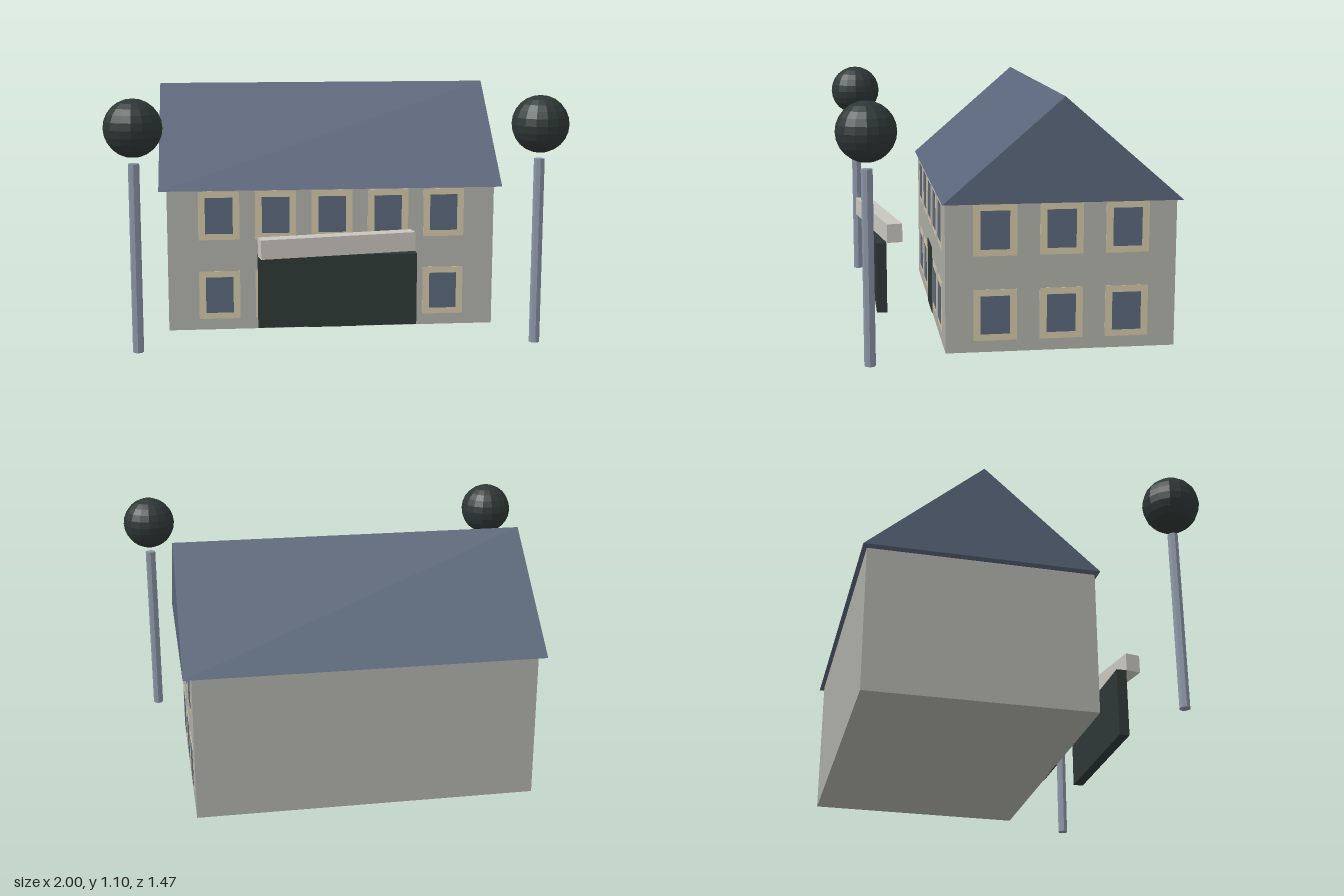
import * as THREE from 'three';

const paint = (name, color, flatShading = false) => {
  const m = new THREE.MeshStandardMaterial({ color, flatShading });
  m.name = name;
  return m;
};

export function createModel() {
  const wall = paint('warm grey wall', 0xacaca6);
  const slate = paint('slate blue', 0x596579);
  const cream = paint('cream trim', 0xcec2a3);
  const dark = paint('dark green', 0x2d3735, true);
  const stone = paint('pale stone', 0xc8c5be);
  const steel = paint('steel', 0x8a94a5, true);

  const model = new THREE.Group();
  model.name = 'house';

  const add = (parent, name, geometry, material, x = 0, y = 0, z = 0) => {
    const mesh = new THREE.Mesh(geometry, material);
    mesh.name = name;
    mesh.position.set(x, y, z);
    parent.add(mesh);
    return mesh;
  };
  const box = (w, h, d) => new THREE.BoxGeometry(w, h, d);

  // Main block
  const midZ = -0.215, frontZ = 0.285, sideX = 0.752;
  add(model, 'walls', box(sideX * 2, 0.65, 1), wall, 0, 0.325, midZ);

  // Gabled roof: a triangle swept along x
  const gable = new THREE.Shape([
    new THREE.Vector2(-0.517, 0), new THREE.Vector2(0.517, 0), new THREE.Vector2(0, 0.448),
  ]);
  const roofGeo = new THREE.ExtrudeGeometry(gable, { depth: 1.576, bevelEnabled: false });
  roofGeo.translate(0, 0, -0.788).rotateY(Math.PI / 2);
  add(model, 'roof', roofGeo, slate, 0, 0.65, midZ - 0.003);

  // Windows: a thin trim plate with a pane on it, facing +z
  const trimGeo = box(0.188, 0.224, 0.004), paneGeo = box(0.126, 0.167, 0.006);
  const addWindow = (x, y, z, turn) => {
    const win = new THREE.Group();
    win.name = 'window';
    add(win, 'windowTrim', trimGeo, cream);
    add(win, 'windowPane', paneGeo, slate, 0, 0, 0.001);
    win.position.set(x, y, z);
    win.rotation.y = turn;
    model.add(win);
  };
  for (const y of [0.163, 0.533]) {
    for (let i = -2; i <= 2; i++) {
      if (i === 0 && y < 0.4) continue; // the door stands here
      addWindow(i * 0.259, y, frontZ, 0);
    }
    for (let i = -1; i <= 1; i++) addWindow(sideX, y, midZ + i * 0.286, Math.PI / 2);
  }

  // Entrance
  add(model, 'door', box(0.224, 0.32, 0.006), dark, 0, 0.16, frontZ);
  add(model, 'entrancePanel', box(0.702, 0.322, 0.047), dark, 0, 0.24, 0.535);
  const canopy = add(model, 'canopy', box(0.702, 0.085, 0.07), stone, 0, 0.444, 0.534);
  canopy.rotation.y = THREE.MathUtils.degToRad(10);

  // Pair of globe lamps
  const postGeo = new THREE.CylinderGeometry(0.024, 0.024, 0.825, 8);
  const globeGeo = new THREE.SphereGeometry(0.125, 16, 12);
  for (const side of [-1, 1]) {
    const lamp = new THREE.Group();
    lamp.name = side > 0 ? 'leftLamp' : 'rightLamp';
    add(lamp, 'lampPost', postGeo, steel, 0, 0.4125, 0);
    add(lamp, 'lampGlobe', globeGeo, dark, 0, 0.976, 0);
    lamp.position.set(side * 0.875, 0, 0.61);
    model.add(lamp);
  }

  return model;
}
